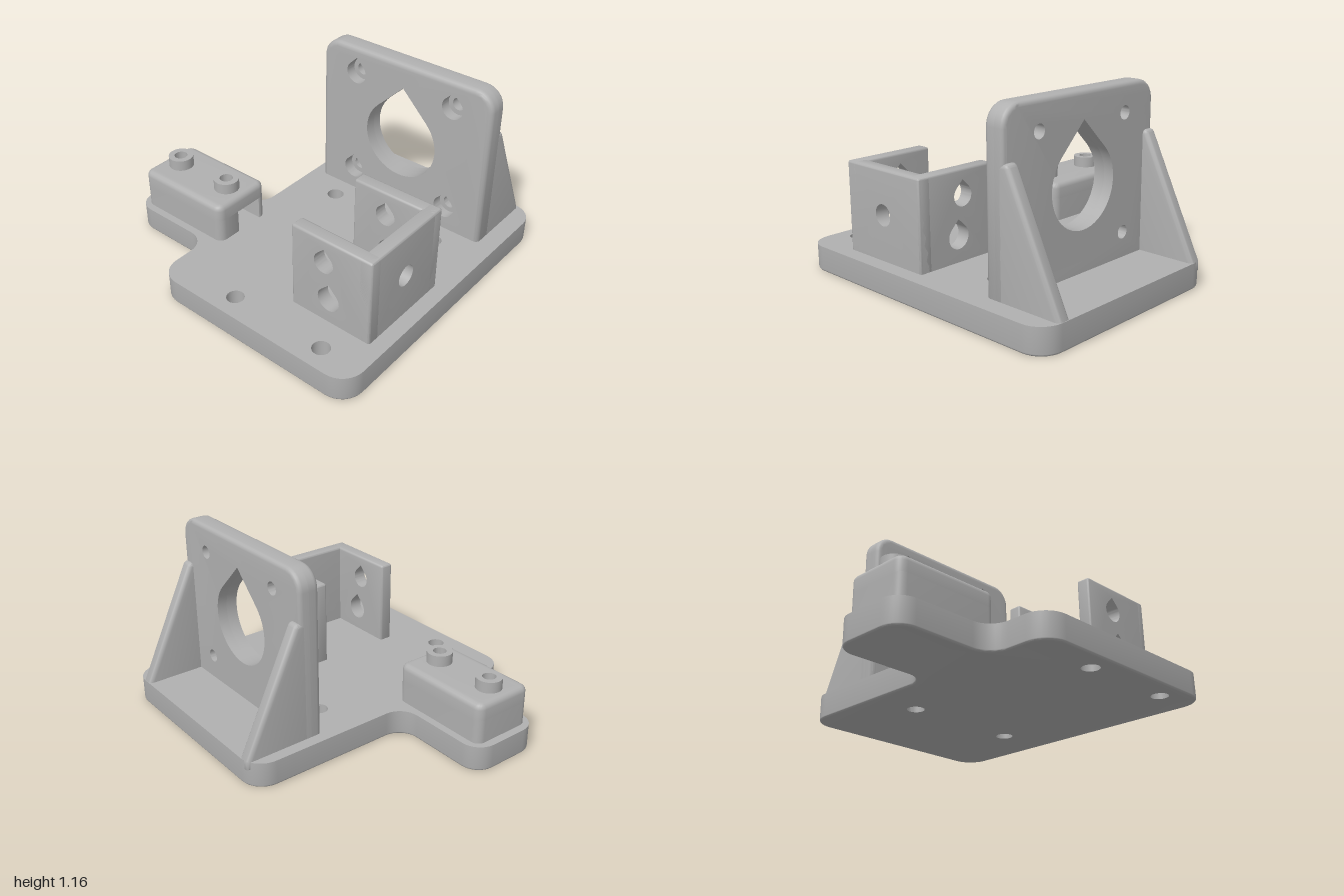
import * as THREE from 'three';
import { mergeGeometries, toCreasedNormals } from 'three/addons/utils/BufferGeometryUtils.js';

const V = (x, y) => new THREE.Vector2(x, y);

// Counter-clockwise polygon of [x, y, radius] corners, inset and with filleted corners
function filleted(corners, inset = 0) {
  const n = corners.length;
  const P = corners.map(c => V(c[0], c[1]));
  const dir = P.map((p, i) => P[(i + 1) % n].clone().sub(p).normalize());
  const out = [];
  for (let i = 0; i < n; i++) {
    const d0 = dir[(i + n - 1) % n], d1 = dir[i];
    const n0 = V(-d0.y, d0.x), n1 = V(-d1.y, d1.x);
    const p = P[i].clone().addScaledVector(n0.clone().add(n1), inset / (1 + n0.dot(n1)));
    const turn = Math.atan2(d0.cross(d1), d0.dot(d1)), s = Math.sign(turn);
    const r = Math.max(corners[i][2] - s * inset, 0.001);
    const centre = p.clone().addScaledVector(d0, -r * Math.tan(Math.abs(turn) / 2)).addScaledVector(n0, s * r);
    const a0 = Math.atan2(-n0.y * s, -n0.x * s);
    for (let k = 0; k <= 8; k++) {
      const a = a0 + turn * k / 8;
      out.push(V(centre.x + r * Math.cos(a), centre.y + r * Math.sin(a)));
    }
  }
  return out;
}

const rect = (x0, y0, x1, y1, rBottom, rTop = rBottom) =>
  [[x0, y0, rBottom], [x1, y0, rBottom], [x1, y1, rTop], [x0, y1, rTop]];

const arc = (x, y, r, from, to, n) => Array.from({ length: n + 1 }, (_, i) => {
  const a = from + (to - from) * i / n;
  return V(x + r * Math.cos(a), y + r * Math.sin(a));
});
const circle = (x, y, r) => arc(x, y, r, 0, Math.PI * 2, 32).slice(0, 32);
const teardrop = (x, y, r) => [...arc(x, y, r, Math.PI * 0.75, Math.PI * 2.25, 36), V(x, y + r * Math.SQRT2)];

// Skin between two matching loops
function wall(a, ha, b, hb) {
  const pos = [], n = a.length;
  for (let i = 0; i < n; i++) {
    const j = (i + 1) % n;
    pos.push(a[i].x, a[i].y, ha, a[j].x, a[j].y, ha, b[j].x, b[j].y, hb);
    pos.push(a[i].x, a[i].y, ha, b[j].x, b[j].y, hb, b[i].x, b[i].y, hb);
  }
  return new THREE.BufferGeometry().setAttribute('position', new THREE.Float32BufferAttribute(pos, 3));
}

function cap(outline, holes, h, flip) {
  const shape = new THREE.Shape(outline);
  shape.holes = holes.map(p => new THREE.Path(p));
  const g = new THREE.ShapeGeometry(shape);
  if (flip) g.index.array.reverse();
  const flat = g.toNonIndexed().translate(0, 0, h);
  flat.deleteAttribute('uv');
  flat.deleteAttribute('normal');
  return flat;
}

// Slab along z from h0 to h1; outer edges rounded by r0 and r1, holes stay sharp
function slab(corners, holes, h0, h1, r0 = 0, r1 = 0) {
  const rings = [], steps = 4;
  const arcRing = (r, k) => [r * (1 - Math.sin(k)), r * (1 - Math.cos(k))];
  for (let k = r0 ? 0 : steps; k <= steps; k++) {
    const [i, h] = arcRing(r0, k / steps * Math.PI / 2);
    rings.push([filleted(corners, i), r0 ? h0 + h : h0]);
  }
  for (let k = steps; k >= (r1 ? 0 : steps); k--) {
    const [i, h] = arcRing(r1, k / steps * Math.PI / 2);
    rings.push([filleted(corners, i), r1 ? h1 - h : h1]);
  }
  const parts = [cap(rings[0][0], holes, h0, true), cap(rings.at(-1)[0], holes, h1, false)];
  // arc heights are measured from the slab faces
  for (let i = 0; i + 1 < rings.length; i++) parts.push(wall(...rings[i], ...rings[i + 1]));
  for (const p of holes) {
    const q = [...p].reverse();
    parts.push(wall(q, h0, q, h1));
  }
  return toCreasedNormals(mergeGeometries(parts), 0.6);
}

export function createModel() {
  const model = new THREE.Group();
  model.name = 'motorMount';
  const grey = new THREE.MeshStandardMaterial({ color: 0xb0b0b0 });
  grey.name = 'grey';
  const add = (name, geometry) => {
    const mesh = new THREE.Mesh(geometry, grey);
    mesh.name = name;
    model.add(mesh);
  };
  // Slabs drawn as (x, -z) rising along y, and as (-z, y) running along x
  const upright = g => g.rotateX(-Math.PI / 2);
  const sideways = g => g.rotateY(Math.PI / 2);
  const top = 0.155;

  // Base plate with side arm and four screw holes
  const base = [
    [-0.38, -0.95, 0.14], [1, -0.95, 0.14], [1, 0.955, 0.14], [-0.38, 0.955, 0.14],
    [-0.38, -0.085, 0.125], [-1, -0.085, 0.12], [-1, -0.57, 0.12], [-0.38, -0.57, 0.125],
  ];
  const screws = [[-0.09, 0.315], [0.665, 0.315], [0.11, -0.82], [0.73, -0.82]];
  add('basePlate', upright(slab(base, screws.map(([x, y]) => circle(x, y, 0.052)), 0, top, 0.013)));

  // Upright motor plate: counterbored front layer over a drilled back layer
  const plate = rect(-0.31, 0.1, 0.885, 1.157, 0.005, 0.12);
  const bores = [[-0.057, 0.305], [0.63, 0.305], [-0.057, 0.99], [0.63, 0.99]];
  const shaft = teardrop(0.287, 0.648, 0.25);
  add('motorPlateBack', slab(plate, [shaft, ...bores.map(([x, y]) => circle(x, y, 0.04))], -0.592, -0.53, 0.025));
  add('motorPlateFront', slab(plate, [shaft, ...bores.map(([x, y]) => teardrop(x, y, 0.07))], -0.53, -0.46, 0, 0.03));

  // Sloping gussets behind the motor plate
  const gusset = [[0.54, 0.1, 0], [0.952, 0.1, 0], [0.952, 0.155, 0], [0.612, 0.868, 0.03], [0.54, 0.868, 0]];
  for (const x of [-0.31, 0.8]) {
    add('gusset', sideways(slab(gusset, [], x, x + 0.085, 0.025, 0.025)));
  }

  // Three-sided bracket, open towards the right
  const edge = 0.014;
  for (const z of [0.018, 0.557]) {
    add('bracketSide', slab(rect(0.375, 0.1, 0.907, 0.69, 0.005, 0.015),
      [teardrop(0.595, 0.538, 0.064), teardrop(0.63, 0.305, 0.072)], z, z + 0.085, edge, edge));
  }
  add('bracketEnd', sideways(slab(rect(-0.642, 0.1, -0.018, 0.69, 0.005, 0.015),
    [circle(-0.333, 0.425, 0.064)], 0.822, 0.907, edge, edge)));

  // Switch block: slotted lower layer under a drilled lid
  const slotted = [
    [-0.952, -0.525, 0.05], [-0.295, -0.525, 0.05], [-0.295, -0.37, 0], [-0.55, -0.37, 0],
    [-0.55, -0.19, 0], [-0.295, -0.19, 0], [-0.295, -0.13, 0.05], [-0.952, -0.13, 0.05],
  ];
  const studs = [-0.823, -0.425];
  const drill = studs.map(x => circle(x, -0.328, 0.04));
  add('switchBlockLower', upright(slab(slotted, [], 0.15, 0.3)));
  add('switchBlockLid', upright(slab(rect(-0.952, -0.525, -0.295, -0.13, 0.05), drill, 0.3, 0.4, 0, 0.035)));

  // Hollow studs on the block
  studs.forEach((x, i) => {
    const r = 0.077;
    add('stud', upright(slab(rect(x - r, -0.328 - r, x + r, -0.328 + r, r), [drill[i]], 0.395, 0.468)));
  });
  return model;
}
